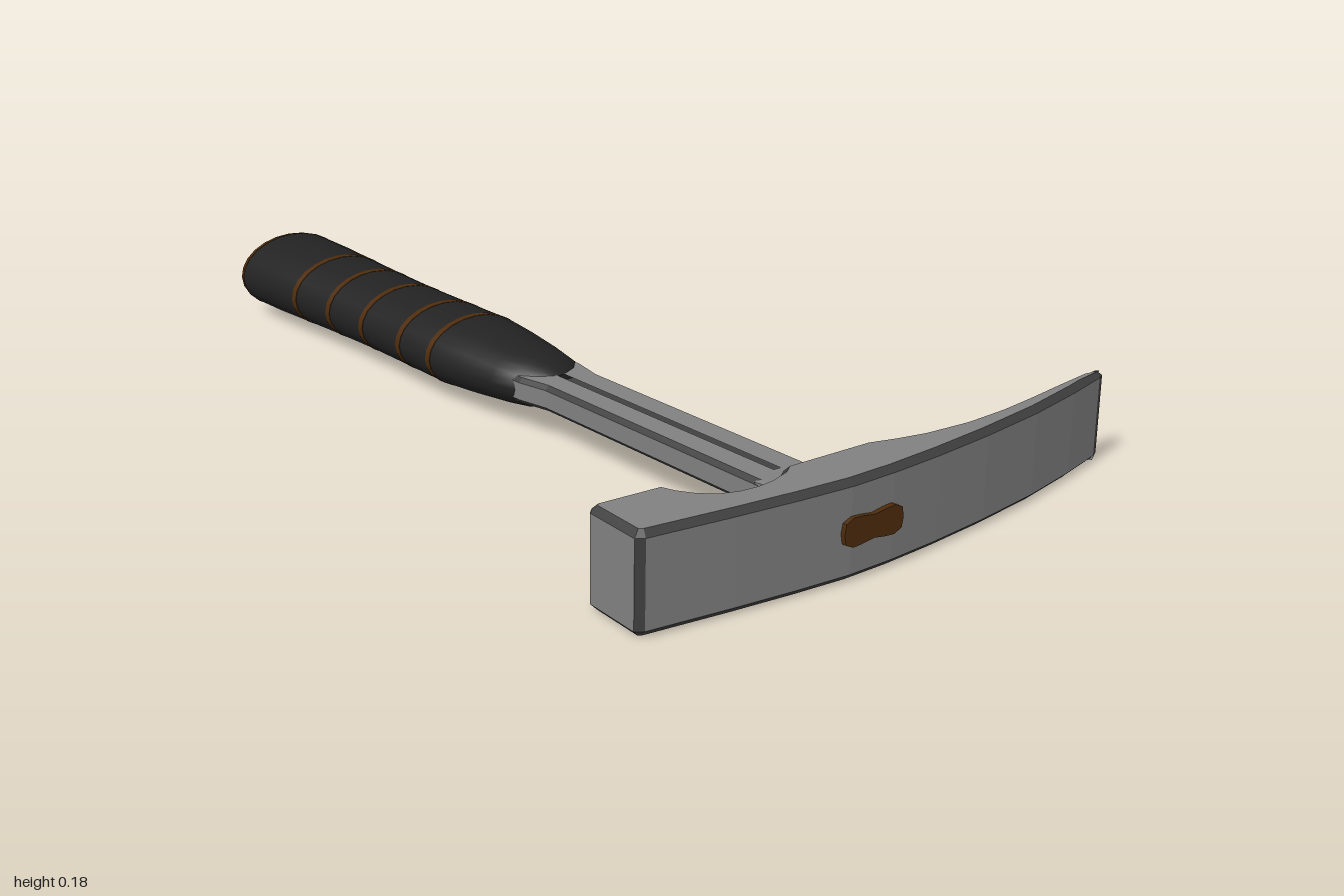
import * as THREE from 'three';
import { toCreasedNormals } from 'three/addons/utils/BufferGeometryUtils.js';

const CY = 0.0965, CZ = 0.134; // axis of the handle

const material = (name, color) => {
  const m = new THREE.MeshStandardMaterial({ color });
  m.name = name;
  return m;
};

// Loft along x: sections are [x, half height, half width], profile is unit [y, z] points
function loft(sections, profile, crease = 0.6) {
  const pos = [], index = [], n = profile.length, last = sections.length - 1;
  for (const [x, hy, hz] of sections)
    for (const [y, z] of profile) pos.push(x, CY + y * hy, CZ + z * hz);
  for (let i = 0; i < last; i++)
    for (let j = 0; j < n; j++) {
      const a = i * n + j, b = i * n + (j + 1) % n;
      index.push(a, b, a + n, b, b + n, a + n);
    }
  for (const [row, flip] of [[0, true], [last, false]]) {
    const c = pos.length / 3, [x] = sections[row];
    pos.push(x, CY, CZ);
    for (let j = 0; j < n; j++) {
      const a = row * n + j, b = row * n + (j + 1) % n;
      index.push(c, flip ? b : a, flip ? a : b);
    }
  }
  const g = new THREE.BufferGeometry();
  g.setAttribute('position', new THREE.Float32BufferAttribute(pos, 3));
  g.setIndex(index);
  return toCreasedNormals(g, crease);
}

// Bevelled slab from an [x, z] outline; chamfer faces get material 1
function slab(outline, height, bevel, hole) {
  const toVec = ([x, z]) => new THREE.Vector2(x, -z);
  const shape = new THREE.Shape(outline.map(toVec));
  if (hole) shape.holes.push(new THREE.Path(hole.map(toVec)));
  const g = new THREE.ExtrudeGeometry(shape, {
    depth: height - 2 * bevel, bevelEnabled: true, bevelSegments: 1,
    bevelThickness: bevel, bevelSize: bevel, bevelOffset: -bevel,
  });
  g.rotateX(-Math.PI / 2);
  g.translate(0, CY - height / 2 + bevel, 0);
  g.computeVertexNormals();
  g.clearGroups();
  const nor = g.attributes.normal, p = g.attributes.position;
  for (let i = 0; i < p.count; i += 3) {
    const ny = Math.abs(nor.getY(i));
    const corner = Math.abs(p.getZ(i)) > 0.57 && Math.abs(nor.getX(i)) > 0.4 && Math.abs(nor.getZ(i)) > 0.4;
    g.addGroup(i, 3, (ny > 0.2 && ny < 0.95) || corner ? 1 : 0);
  }
  return g;
}

const ellipse = Array.from({ length: 24 }, (_, i) => {
  const a = (i / 24) * Math.PI * 2;
  return [Math.cos(a), Math.sin(a)];
});
const chamferedBox = [[1, -0.8], [1, 0.8], [0.8, 1], [-0.8, 1], [-1, 0.8], [-1, -0.8], [-0.8, -1], [0.8, -1]];
const peanut = [[0.8, 0], [0.95, 0.4], [1, 0.7], [0.7, 0.95], [0, 1], [-0.7, 0.95], [-1, 0.7], [-0.95, 0.4],
  [-0.8, 0], [-0.95, -0.4], [-1, -0.7], [-0.7, -0.95], [0, -1], [0.7, -0.95], [1, -0.7], [0.95, -0.4]];

// Grip stations [x, half height, half width]
const gripSections = [
  [-0.99, 0.088, 0.134], [-0.88, 0.0865, 0.133], [-0.75, 0.083, 0.126], [-0.61, 0.08, 0.119],
  [-0.48, 0.077, 0.117], [-0.32, 0.0765, 0.118], [-0.19, 0.0765, 0.119], [-0.1, 0.07, 0.111],
  [0, 0.061, 0.097], [0.06, 0.053, 0.086], [0.09, 0.04, 0.066], [0.112, 0.027, 0.035],
];
function gripAt(x, scale) {
  const i = Math.max(0, gripSections.findIndex((s) => s[0] > x) - 1);
  const a = gripSections[i], b = gripSections[i + 1];
  const t = (x - a[0]) / (b[0] - a[0]);
  return [x, (a[1] + (b[1] - a[1]) * t) * scale, (a[2] + (b[2] - a[2]) * t) * scale];
}

export function createModel() {
  const steel = material('steel', 0x808080);
  const edge = material('darkSteelEdge', 0x404040);
  const rubber = material('blackRubber', 0x222222);
  const brown = material('brown', 0x4e2c0c);
  const group = new THREE.Group();
  group.name = 'hammer';
  const add = (name, geometry, mat) => {
    const mesh = new THREE.Mesh(geometry, mat);
    mesh.name = name;
    group.add(mesh);
  };

  // Head: square poll at the front, curved chisel at the back
  const head = [
    [0.944, 0.605], [0.82, 0.598], [0.807, 0.585], [0.813, 0.447], [0.845, 0.435], [0.872, 0.417],
    [0.893, 0.392], [0.904, 0.362], [0.907, 0.325], [0.902, 0.29], [0.888, 0.25], [0.87, 0.225],
    [0.87, 0.035], [0.885, -0.02], [0.897, -0.08], [0.903, -0.18], [0.896, -0.28], [0.882, -0.374],
    [0.867, -0.46], [0.851, -0.56], [0.857, -0.6], [0.865, -0.608], [0.874, -0.59],
    [0.904, -0.48], [0.936, -0.34], [0.962, -0.18], [0.979, -0.04], [0.989, 0.08],
    [0.992, 0.18], [0.985, 0.29], [0.973, 0.42], [0.954, 0.59],
  ];
  add('head', slab(head, 0.184, 0.012), [steel, edge]);

  // Neck flaring from the shaft into the head
  add('neck', loft([
    [0.77, 0.027, 0.066], [0.81, 0.034, 0.069], [0.84, 0.05, 0.08],
    [0.865, 0.074, 0.096], [0.89, 0.088, 0.12], [0.92, 0.088, 0.14],
  ], chamferedBox, 0.5), steel);

  // Shaft with a fuller groove on both faces
  const shaft = [[-0.1, 0.05], [0.08, 0.053], [0.15, 0.067], [0.83, 0.067],
    [0.83, 0.201], [0.15, 0.201], [0.08, 0.215], [-0.1, 0.218]];
  const groove = [[0.05, 0.117], [0.765, 0.117], [0.765, 0.151], [0.05, 0.151]];
  add('shaft', slab(shaft, 0.054, 0.009, groove), [steel, edge]);
  const floor = new THREE.BoxGeometry(0.74, 0.03, 0.06);
  floor.translate(0.41, CY, CZ);
  add('grooveFloor', floor, edge);

  // Rubber grip with brown bands and butt cap
  add('grip', loft(gripSections, ellipse), rubber);
  for (const x of [-0.755, -0.615, -0.475, -0.32, -0.2])
    add('gripBand', loft([gripAt(x - 0.008, 1.01), gripAt(x + 0.008, 1.01)], ellipse), brown);
  add('buttCap', loft([[-1, 0.0865, 0.132], [-0.986, 0.089, 0.135]], ellipse), brown);

  // Wedge showing through the striking side of the head
  add('wedge', loft([[0.97, 0.027, 0.069], [1, 0.027, 0.069]], peanut), brown);

  return group;
}
